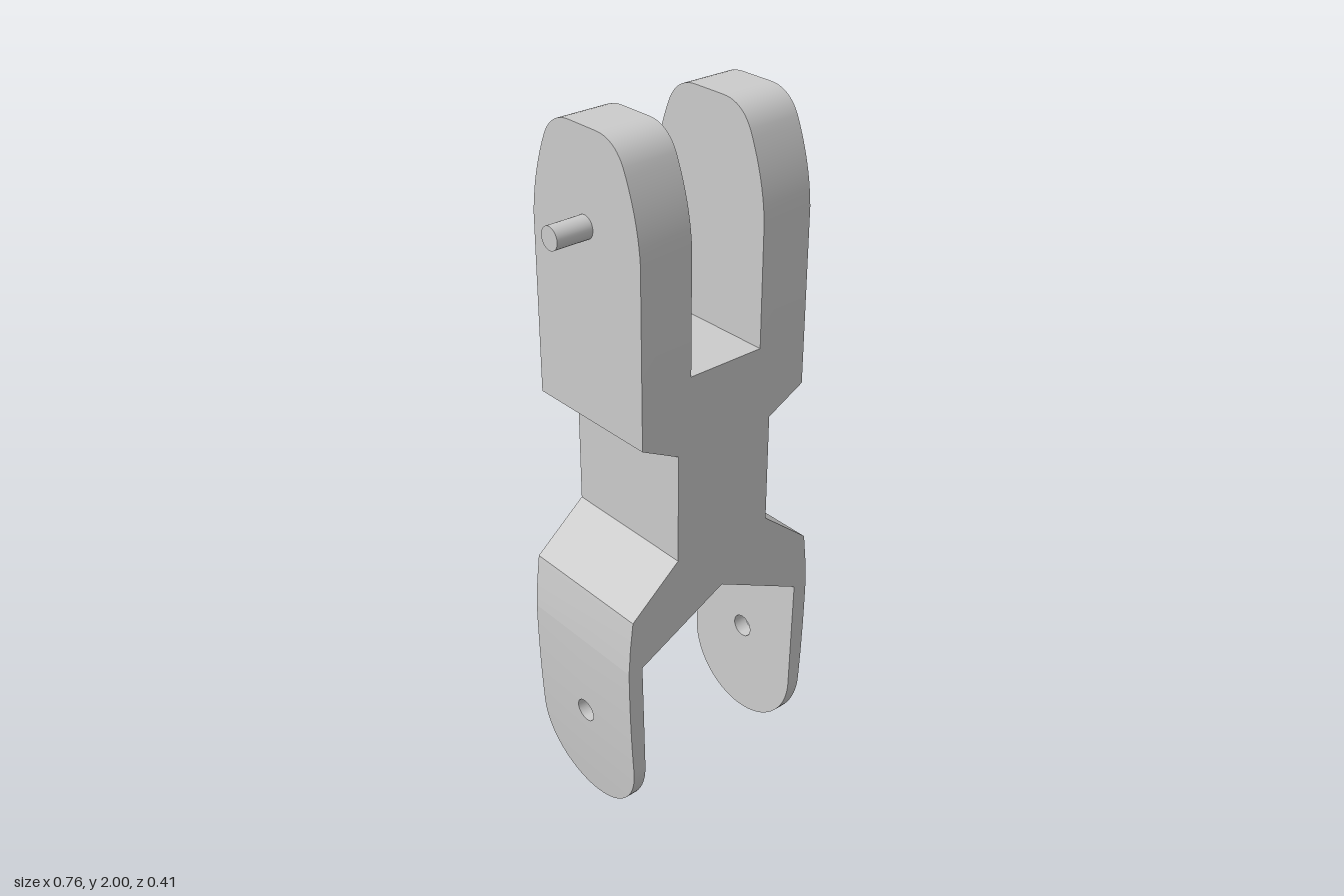
import * as THREE from 'three';
import { toCreasedNormals } from 'three/addons/utils/BufferGeometryUtils.js';

const HALF = 0.205;          // half depth of the whole link
const HOLE_Y = 0.3, HOLE_R = 0.034;
const LEG_TOP = 0.555;
const material = new THREE.MeshStandardMaterial({ color: 0xcccccc });

function part(name, geometry, parent) {
  const mesh = new THREE.Mesh(geometry, material);
  mesh.name = name;
  parent.add(mesh);
  return mesh;
}

// outer and inner faces of a leg at a given height
const outerX = (y) => 0.328 - 0.028 * ((LEG_TOP - y) / LEG_TOP) ** 2;
const innerX = (y) => 0.272 + 0.01 * (y / LEG_TOP);

// central body: mirrored front outline, extruded through the depth
function bodyGeometry() {
  const right = [
    [0.116, 1.377], [0.273, 1.377], [0.273, 1.223], [0.157, 1.163], [0.157, 0.845],
    [0.312, 0.717], [0.322, 0.635], [outerX(LEG_TOP), LEG_TOP], [innerX(LEG_TOP), LEG_TOP],
  ];
  const left = right.map(([x, y]) => [-x, y]).reverse();
  const outline = [...right, [0, 0.697], ...left].map(([x, y]) => new THREE.Vector2(x, y));
  const g = new THREE.ExtrudeGeometry(new THREE.Shape(outline), { depth: 2 * HALF, bevelEnabled: false });
  g.translate(0, 0, -HALF);
  return toCreasedNormals(g, 0.4);
}

// fork arm: rounded side outline, extruded across its thickness
function armGeometry(side) {
  const s = new THREE.Shape();
  s.moveTo(-HALF, 1.377);
  s.lineTo(HALF, 1.377);
  s.lineTo(HALF, 1.72);
  s.quadraticCurveTo(0.198, 1.83, 0.148, 1.94);
  s.quadraticCurveTo(0.117, 2, 0.05, 2);
  s.lineTo(-0.05, 2);
  s.quadraticCurveTo(-0.117, 2, -0.148, 1.94);
  s.quadraticCurveTo(-0.198, 1.83, -HALF, 1.72);
  const g = new THREE.ExtrudeGeometry(s, { depth: 0.157, bevelEnabled: false, curveSegments: 10 });
  g.rotateY(Math.PI / 2);
  g.translate(side > 0 ? 0.116 : -0.273, 0, 0);
  return toCreasedNormals(g, 0.5);
}

// leg: front and back halves lofted upwards around the round hole
function legGeometry(side) {
  const rows = [];
  for (let i = 0; i <= 16; i++) rows.push(HALF * (1 - Math.cos((i / 16) * Math.PI / 2)));
  for (let i = 0; i <= 12; i++) rows.push(HOLE_Y - HOLE_R * Math.cos((i / 12) * Math.PI));
  rows.push(0.39, 0.44, 0.5, LEG_TOP);

  const width = (y) => (y < HALF ? Math.sqrt(Math.max(0, HALF ** 2 - (HALF - y) ** 2)) : HALF);
  const hole = (y) => {
    const h2 = HOLE_R ** 2 - (y - HOLE_Y) ** 2;
    return h2 > 1e-9 ? Math.sqrt(h2) : 0;
  };
  const positions = [];
  for (const half of [1, -1]) {
    const rings = rows.map((y) => {
      const o = side * outerX(y), n = side * innerX(y);
      const h = half * hole(y), w = half * width(y);
      return [[o, y, h], [o, y, w], [n, y, w], [n, y, h]];
    });
    for (let i = 0; i < rows.length - 1; i++) {
      for (let j = 0; j < 4; j++) {
        // the fourth side is the hole wall, absent on solid rows
        if (j === 3 && hole(rows[i]) === 0 && hole(rows[i + 1]) === 0) continue;
        const k = (j + 1) % 4;
        const a = rings[i][j], b = rings[i][k], c = rings[i + 1][k], d = rings[i + 1][j];
        const tris = half * side > 0 ? [a, d, c, a, c, b] : [a, c, d, a, b, c];
        for (const p of tris) positions.push(...p);
      }
    }
  }
  const g = new THREE.BufferGeometry();
  g.setAttribute('position', new THREE.Float32BufferAttribute(positions, 3));
  return toCreasedNormals(g, 0.6);
}

export function createModel() {
  const model = new THREE.Group();
  model.name = 'forkedLink';
  part('body', bodyGeometry(), model);

  for (const side of [1, -1]) {
    const prefix = side > 0 ? 'left' : 'right';
    part(prefix + 'ForkArm', armGeometry(side), model);
    part(prefix + 'Leg', legGeometry(side), model);

    // pivot pin, seated slightly inside the arm
    const pin = part(prefix + 'Pin', new THREE.CylinderGeometry(0.031, 0.031, 0.125, 32), model);
    pin.rotation.z = Math.PI / 2;
    pin.position.set(side * 0.3155, 1.75, 0);
  }
  return model;
}
